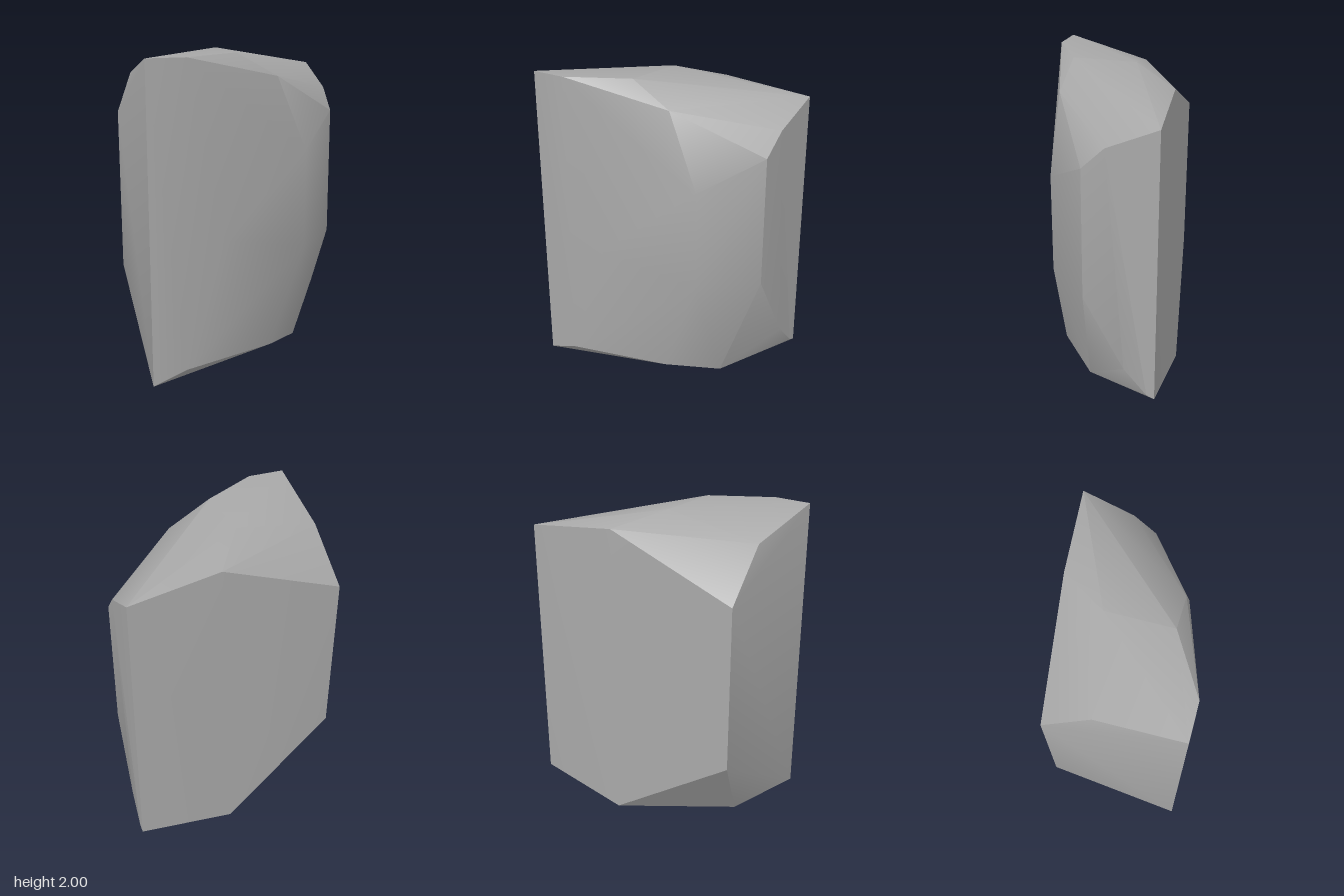
import * as THREE from 'three';
import { ConvexGeometry } from 'three/addons/geometries/ConvexGeometry.js';
import { toCreasedNormals } from 'three/addons/utils/BufferGeometryUtils.js';

const stone = new THREE.MeshStandardMaterial({ color: 0xa8a8a8 });
stone.name = 'stone grey';

// Corners of the boulder, grouped by the side they define
const top = [
  [-0.70, 2.00, 0.49], [-0.46, 2.00, 0.49], [-0.09, 2.00, 0.275], [-0.09, 2.00, -0.14],
  [-0.67, 1.87, -0.05], [0.12, 1.91, -0.435], [0.18, 1.85, 0.275],
];
const rightFace = [
  [0.70, 1.85, -0.49], [0.693, 1.71, -0.17], [0.683, 1.57, -0.025], [0.683, 0.73, -0.025],
  [0.694, 0.27, -0.29], [0.70, 0.11, -0.44], [0.70, 0.09, -0.49],
];
const front = [
  [0.38, 1.37, 0.275], [0.38, 0.73, 0.275], [-0.22, 0.88, 0.455],
];
const backLeft = [
  [-0.70, 1.58, -0.36], [-0.70, 0.515, -0.36],
];
const base = [
  [-0.70, 0, 0.49], [-0.48, 0.08, 0.49], [0.15, 0.07, 0.28],
  [0.42, 0, 0.02], [0.07, 0, -0.49], [-0.565, 0, -0.035],
];

export function createModel() {
  const group = new THREE.Group();
  group.name = 'boulder';

  // Faceted hull, smooth over shallow bends and sharp at the breaks
  const corners = [...top, ...rightFace, ...front, ...backLeft, ...base]
    .map((p) => new THREE.Vector3(...p));
  const hull = toCreasedNormals(new ConvexGeometry(corners), THREE.MathUtils.degToRad(32));
  const rock = new THREE.Mesh(hull, stone);
  rock.name = 'rock';
  group.add(rock);
  return group;
}
